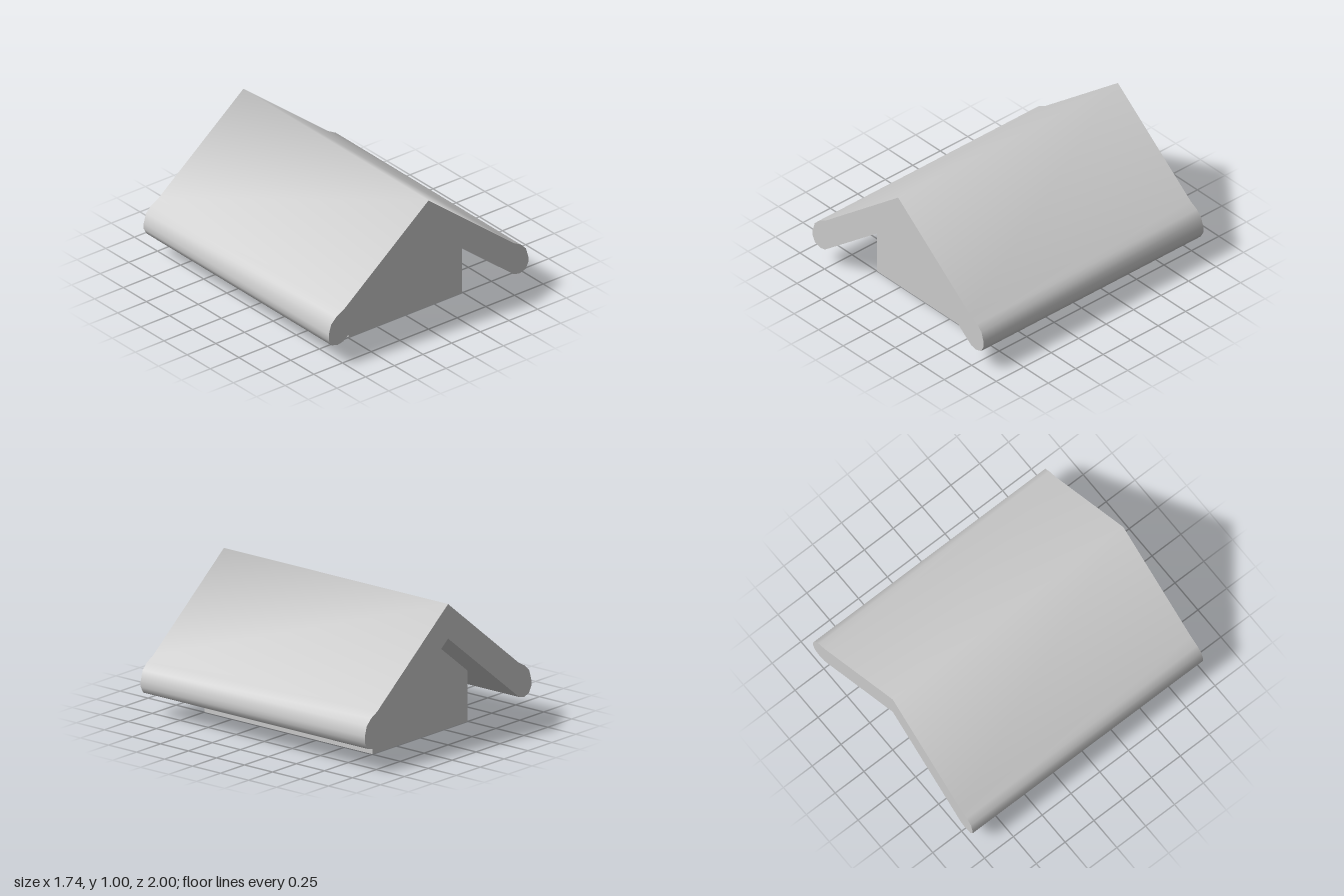
import * as THREE from 'three';
import { toCreasedNormals } from 'three/addons/utils/BufferGeometryUtils.js';

// Extrude a symmetric outline, given by its +x half from top to bottom, along z
function prism(name, half, depth, crease) {
  const mirrored = half.filter(([x]) => x > 0).map(([x, y]) => [-x, y]).reverse();
  // the outline runs down the +x side, then back up the -x side
  const inner = half[half.length - 1][0] === 0 ? [half[half.length - 1]] : [];
  const right = half.slice(0, half.length - inner.length);
  const points = [...right, ...inner, ...mirrored].map(([x, y]) => new THREE.Vector2(x, y));
  const extruded = new THREE.ExtrudeGeometry(new THREE.Shape(points), { depth, bevelEnabled: false });
  extruded.translate(0, 0, -depth / 2);
  const mesh = new THREE.Mesh(
    toCreasedNormals(extruded, crease),
    new THREE.MeshStandardMaterial({ color: 0xcccccc })
  );
  mesh.name = name;
  return mesh;
}

export function createModel() {
  const group = new THREE.Group();
  group.name = 'gabledHouse';

  // Thick gable roof with rounded, slightly bulging eaves, shaded smoothly over the ridge
  group.add(prism('roof', [
    [0, 1.0], [0.74, 0.41], [0.805, 0.375], [0.85, 0.33], [0.87, 0.26],
    [0.87, 0.215], [0.845, 0.17], [0.795, 0.155], [0.745, 0.165], [0, 0.755],
  ], 2, 1.4));

  // House body tucked under the roof
  group.add(prism('walls', [[0, 0.755], [0.495, 0.363], [0.495, 0]], 1.5, 0.3));

  return group;
}
